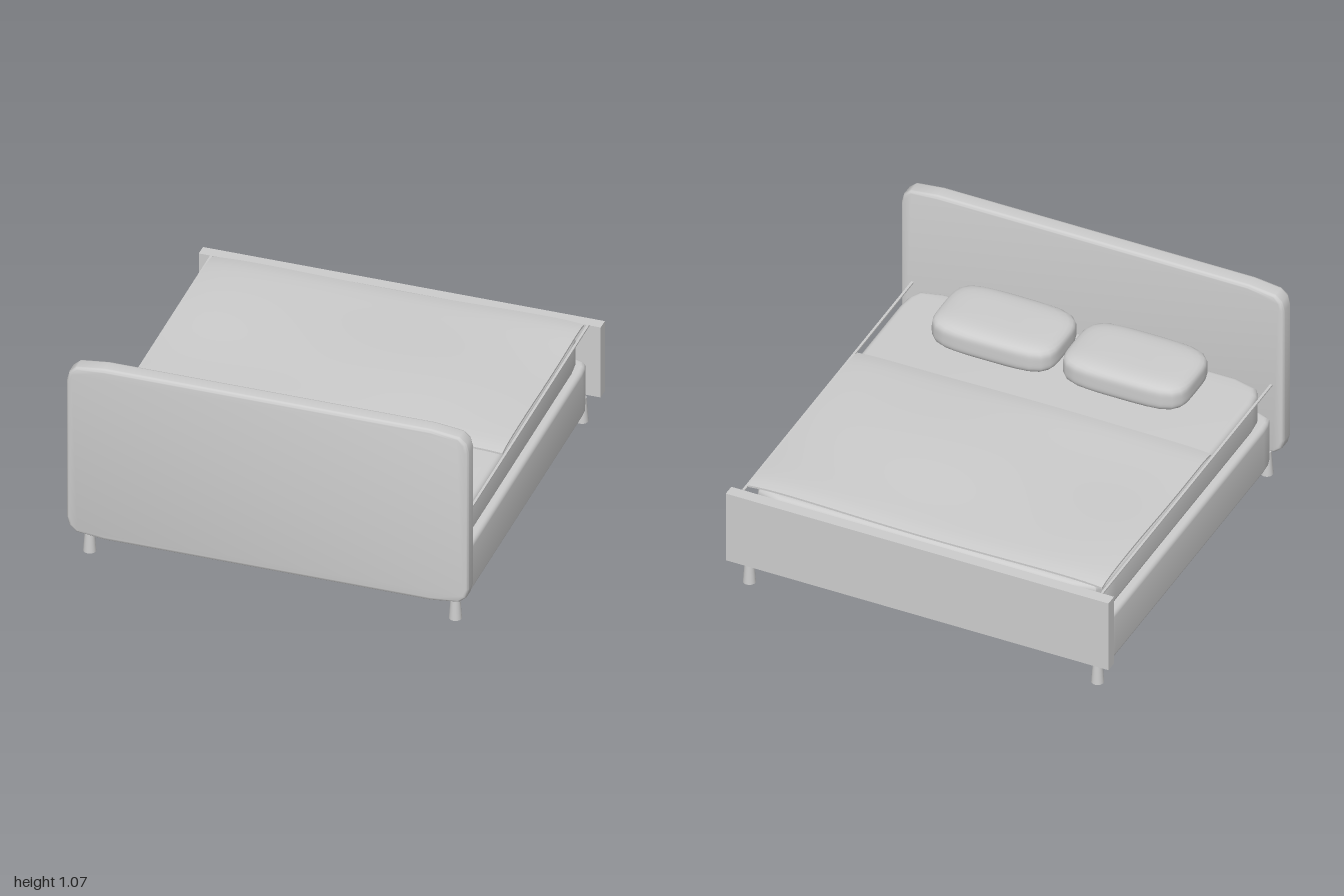
import * as THREE from 'three';
import { mergeVertices, toCreasedNormals } from 'three/addons/utils/BufferGeometryUtils.js';

const grey = new THREE.MeshStandardMaterial({ color: 0xcccccc });
grey.name = 'grey';

// Slab in the XY plane with eased corners (cx by cy) and a rounded rim, centred on the origin
function paddedSlab(w, h, depth, cx, cy, bevel) {
  const x = w / 2 - bevel, y = h / 2 - bevel;
  const corner = [[x, y - cy], [x - cx * 0.06, y - cy * 0.5], [x - cx * 0.22, y - cy * 0.2], [x - cx, y]];
  const back = [...corner].reverse();
  const points = [
    ...corner,
    ...back.map(([a, b]) => [-a, b]),
    ...corner.map(([a, b]) => [-a, -b]),
    ...back.map(([a, b]) => [a, -b]),
  ].map(([a, b]) => new THREE.Vector2(a, b));
  const geo = new THREE.ExtrudeGeometry(new THREE.Shape(points), {
    depth: depth - 2 * bevel, bevelEnabled: true, bevelThickness: bevel, bevelSize: bevel, bevelSegments: 5,
  });
  geo.translate(0, 0, bevel - depth / 2);
  return toCreasedNormals(geo, 0.7);
}

// Cushion: a sphere pushed out towards a box
function cushion(w, h, d) {
  const geo = new THREE.SphereGeometry(1, 40, 28);
  geo.deleteAttribute('uv');
  geo.deleteAttribute('normal');
  const p = geo.attributes.position;
  const v = new THREE.Vector3();
  const n = 4.5;
  for (let i = 0; i < p.count; i++) {
    v.fromBufferAttribute(p, i);
    const r = Math.pow(Math.abs(v.x) ** n + Math.abs(v.y) ** n + Math.abs(v.z) ** n, 1 / n);
    p.setXYZ(i, v.x / r * w / 2, v.y / r * h / 2, v.z / r * d / 2);
  }
  const merged = mergeVertices(geo, 1e-5);
  merged.computeVertexNormals();
  return merged;
}

// Thin blanket with gentle waves and drooping borders
function blanketGeometry(w, t, d) {
  const geo = new THREE.BoxGeometry(w, t, d, 40, 1, 30);
  const p = geo.attributes.position;
  for (let i = 0; i < p.count; i++) {
    const x = p.getX(i), z = p.getZ(i);
    const u = Math.abs(2 * x / w), v = Math.abs(2 * z / d);
    const wave = 0.004 * Math.sin(x * 4 + z * 3) + 0.004 * Math.cos(z * 6 - x * 2);
    const droop = 0.012 * u ** 10 + 0.012 * v ** 12;
    p.setY(i, p.getY(i) + wave - droop);
  }
  return toCreasedNormals(geo, 0.7);
}

export function createModel() {
  const bed = new THREE.Group();
  bed.name = 'bed';
  const add = (name, geo, x, y, z) => {
    const mesh = new THREE.Mesh(geo, grey);
    mesh.name = name;
    mesh.position.set(x, y, z);
    bed.add(mesh);
    return mesh;
  };

  // End boards
  add('headboard', paddedSlab(2, 0.95, 0.09, 0.17, 0.08, 0.018), 0, 0.595, 0.945);
  add('footboard', new THREE.BoxGeometry(2, 0.39, 0.06), 0, 0.335, -0.96);

  // Base and mattress
  add('base', paddedSlab(1.9, 1.85, 0.265, 0.06, 0.1, 0.025).rotateX(Math.PI / 2), 0, 0.2125, -0.005);
  add('mattress', paddedSlab(1.84, 1.81, 0.18, 0.13, 0.14, 0.03).rotateX(Math.PI / 2), 0, 0.436, -0.01);

  // Bedding
  add('blanket', blanketGeometry(1.85, 0.01, 1.18), 0, 0.559, -0.315);
  const pillow = cushion(0.65, 0.16, 0.41);
  for (const x of [-0.345, 0.34]) add('pillow', pillow, x, 0.612, 0.655);

  // Side rails and legs
  const rail = new THREE.BoxGeometry(0.012, 0.008, 1.83);
  const leg = new THREE.CylinderGeometry(0.022, 0.031, 0.13, 20);
  for (const side of [-1, 1]) {
    add('sideRail', rail, side * 0.937, 0.529, -0.015);
    add('frontLeg', leg, side * 0.91, 0.065, 0.91);
    add('backLeg', leg, side * 0.91, 0.065, -0.92);
  }
  return bed;
}
